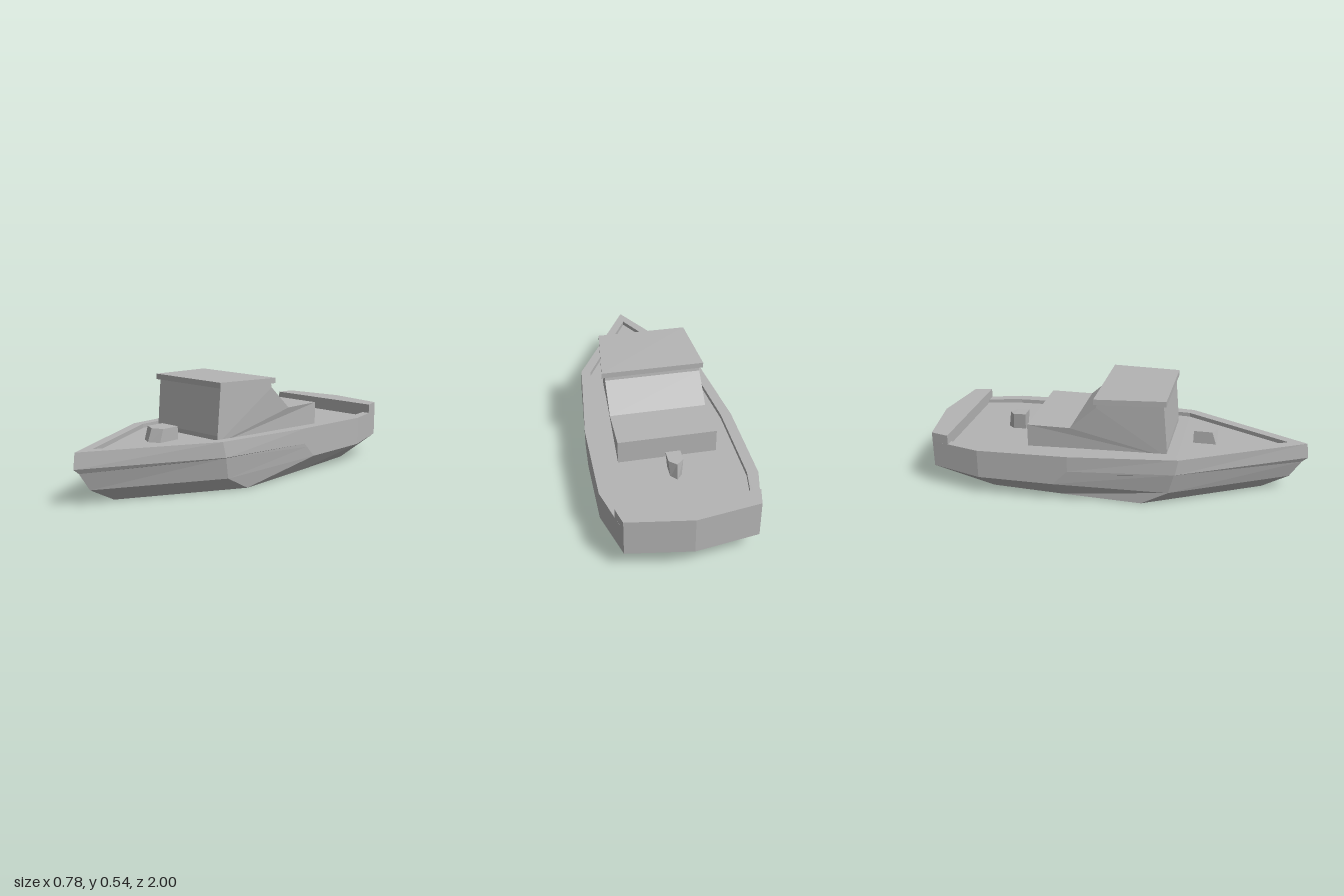
import * as THREE from 'three';

const grey = new THREE.MeshStandardMaterial({ color: 0xb4b4b4, flatShading: true });
grey.name = 'grey paint';

function mesh(name, geometry) {
  const m = new THREE.Mesh(geometry, grey);
  m.name = name;
  return m;
}

// Full symmetric ring from a half outline: centre-line point, +x points, centre-line point
function ring(half) {
  const port = half.slice(1, -1).reverse().map(([x, y, z]) => [-x, y, z]);
  return [...half, ...port];
}

// Skins a stack of rings from the bottom up and closes both ends with cross strips
function loft(halves) {
  const rings = halves.map(ring), n = rings[0].length, pos = [];
  const quad = (a, b, c, d) => pos.push(...a, ...b, ...c, ...a, ...c, ...d);
  for (let r = 0; r < rings.length - 1; r++) {
    for (let i = 0; i < n; i++) {
      const j = (i + 1) % n;
      quad(rings[r][i], rings[r][j], rings[r + 1][j], rings[r + 1][i]);
    }
  }
  const low = rings[0], top = rings[rings.length - 1];
  for (let i = 0; i < n / 2; i++) {
    const l = (n - i) % n, k = n - i - 1;
    quad(low[l], low[k], low[i + 1], low[i]);
    quad(top[i], top[i + 1], top[k], top[l]);
  }
  const g = new THREE.BufferGeometry();
  g.setAttribute('position', new THREE.Float32BufferAttribute(pos, 3));
  g.computeVertexNormals();
  return g;
}

// Side profile of [z, y] points swept across the boat, widening from front to back
function crossExtrude(profile, frontHalf, backHalf) {
  const shape = new THREE.Shape(profile.map(([z, y]) => new THREE.Vector2(z, y)));
  const g = new THREE.ExtrudeGeometry(shape, { depth: 1, bevelEnabled: false });
  g.rotateY(-Math.PI / 2).translate(0.5, 0, 0);
  const p = g.attributes.position;
  for (let i = 0; i < p.count; i++) {
    const t = THREE.MathUtils.clamp((0.28 - p.getZ(i)) / 0.37, 0, 1);
    const w = THREE.MathUtils.lerp(frontHalf, backHalf, t);
    p.setX(i, Math.sign(p.getX(i)) * w + 0.01 * t);
  }
  g.computeVertexNormals();
  return g;
}

// Flat outline of [x, z] points at height y
const level = (y, pts) => pts.map(([x, z]) => [x, y, z]);

export function createModel() {
  const boat = new THREE.Group();
  boat.name = 'boat';

  // Hull: bottom, chine, strake underside, strake edge, gunwale, inner rim, sunken deck
  const rim = [[0, 0.27, 0.89], [0.285, 0.27, 0.34], [0.335, 0.262, -0.2],
    [0.335, 0.252, -0.67], [0.3, 0.25, -0.862], [0, 0.25, -0.862]];
  boat.add(mesh('hull', loft([
    [[0, 0, 0.77], [0.32, 0, 0.17], [0.32, 0.012, -0.25], [0.32, 0.025, -0.62], [0.32, 0.11, -0.95], [0, 0.11, -1]],
    [[0, 0.075, 0.91], [0.32, 0.075, 0.31], [0.39, 0.1, -0.28], [0.39, 0.1, -0.68], [0.32, 0.11, -0.95], [0, 0.11, -1]],
    [[0, 0.165, 0.97], [0.335, 0.186, 0.34], [0.39, 0.16, -0.22], [0.39, 0.16, -0.68], [0.32, 0.17, -0.95], [0, 0.17, -1]],
    [[0, 0.19, 1], [0.34, 0.19, 0.345], [0.39, 0.18, -0.2], [0.39, 0.18, -0.68], [0.32, 0.19, -0.95], [0, 0.19, -1]],
    [[0, 0.27, 0.99], [0.333, 0.27, 0.36], [0.39, 0.262, -0.2], [0.39, 0.252, -0.68], [0.32, 0.25, -0.95], [0, 0.25, -1]],
    rim,
    rim.map(([x, y, z]) => [x, y - 0.022, z]),
  ])));

  // Raised block across the stern
  const stern = [[0, -0.855], [0.344, -0.855], [0.32, -0.95], [0, -1]];
  boat.add(mesh('sternBlock', loft([0.25, 0.3].map((y) => level(y, stern).map((p) => [...p])))));

  // Wheelhouse with its sloped back and low aft trunk
  boat.add(mesh('cabin', crossExtrude([[0.285, 0.23], [0.285, 0.27], [0.265, 0.513], [-0.075, 0.508],
    [-0.08, 0.48], [-0.22, 0.355], [-0.45, 0.355], [-0.45, 0.22]], 0.222, 0.25)));

  // Overhanging roof slab, tilted slightly aft
  boat.add(mesh('roof', crossExtrude([[0.28, 0.511], [0.28, 0.54], [-0.09, 0.531], [-0.09, 0.503]], 0.237, 0.267)));

  // Pointed fittings on the fore and aft decks
  boat.add(mesh('foredeckHatch', loft([
    level(0.235, [[0, 0.555], [0.058, 0.525], [0.058, 0.4], [0, 0.4]]),
    level(0.315, [[0, 0.525], [0.058, 0.5], [0.058, 0.403], [0, 0.403]]),
  ])));
  boat.add(mesh('aftdeckPost', loft([
    level(0.225, [[0, -0.53], [0.028, -0.53], [0.028, -0.6], [0, -0.632]]),
    [[0, 0.322, -0.525], [0.037, 0.322, -0.525], [0.037, 0.318, -0.59], [0, 0.315, -0.62]],
  ])));

  return boat;
}
